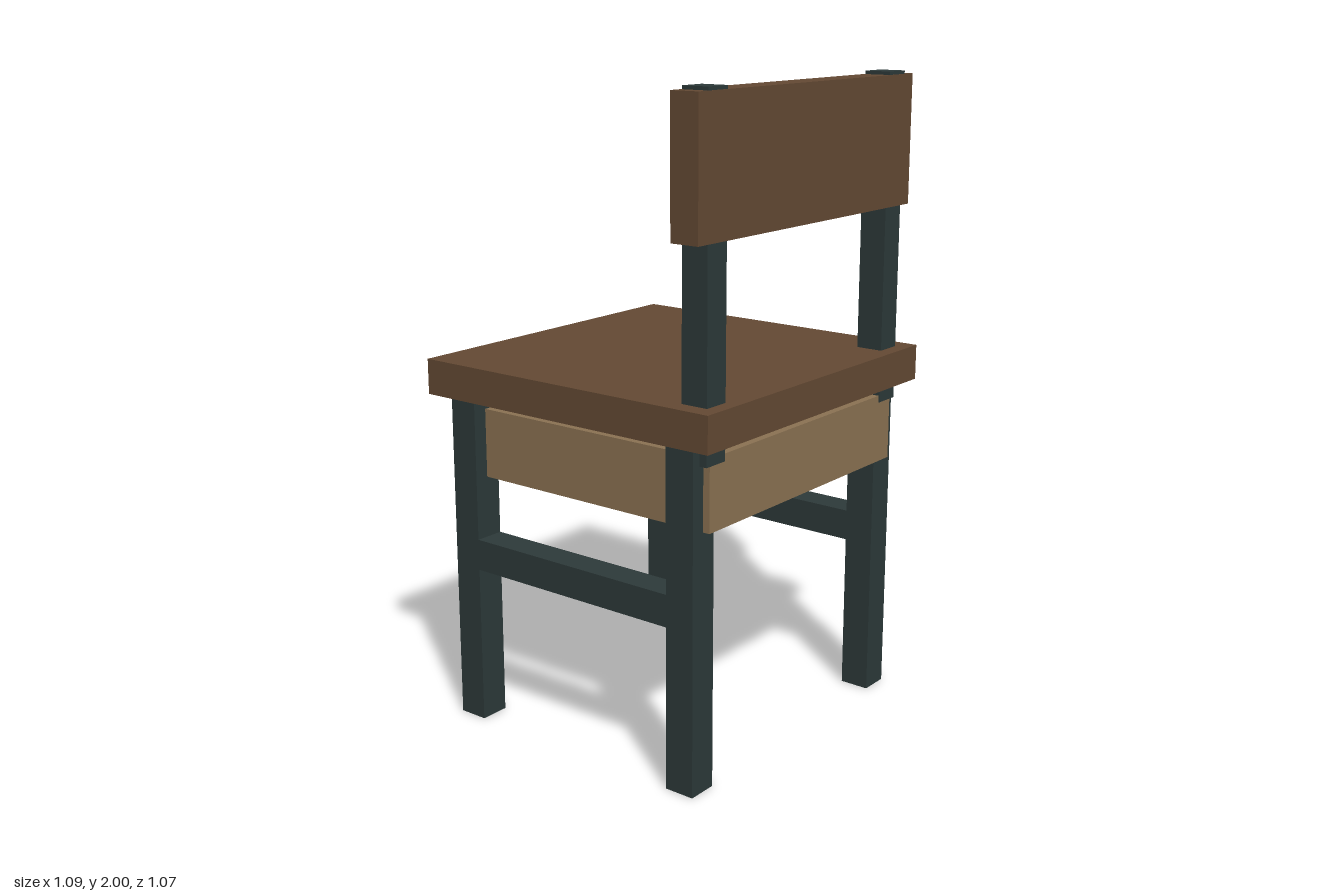
import * as THREE from 'three';

const material = (name, color) => {
  const m = new THREE.MeshStandardMaterial({ color });
  m.name = name;
  return m;
};

export function createModel() {
  const chair = new THREE.Group();
  chair.name = 'chair';
  const darkWood = material('dark wood', 0x654a34);
  const lightWood = material('light wood', 0x8c7353);
  const slateMetal = material('slate metal', 0x2d3a3a);

  // Box given by its limits on each axis
  const box = (name, mat, [x0, x1], [y0, y1], [z0, z1]) => {
    const mesh = new THREE.Mesh(new THREE.BoxGeometry(x1 - x0, y1 - y0, z1 - z0), mat);
    mesh.position.set((x0 + x1) / 2, (y0 + y1) / 2, (z0 + z1) / 2);
    mesh.name = name;
    chair.add(mesh);
  };

  // Seat board and the solid apron block beneath it
  box('seat', darkWood, [-0.545, 0.543], [1.04, 1.15], [-0.534, 0.534]);
  box('apron', lightWood, [-0.473, 0.468], [0.79, 1.005], [-0.482, 0.487]);

  // Backrest board
  box('backrest', darkWood, [-0.535, 0.531], [1.594, 1.99], [0.4, 0.492]);

  const sides = [
    { side: 'right', leg: [-0.519, -0.424], post: [-0.491, -0.407] },
    { side: 'left', leg: [0.42, 0.515], post: [0.402, 0.487] },
  ];
  for (const { side, leg, post } of sides) {
    // Legs, side stretcher and backrest post
    box(`${side}FrontLeg`, slateMetal, leg, [0, 1.04], [0.37, 0.465]);
    box(`${side}BackLeg`, slateMetal, leg, [0, 1.04], [-0.462, -0.367]);
    box(`${side}Stretcher`, slateMetal, leg, [0.5, 0.598], [-0.367, 0.37]);
    box(`${side}BackrestPost`, slateMetal, post, [0.984, 2], [0.404, 0.49]);
  }
  return chair;
}
